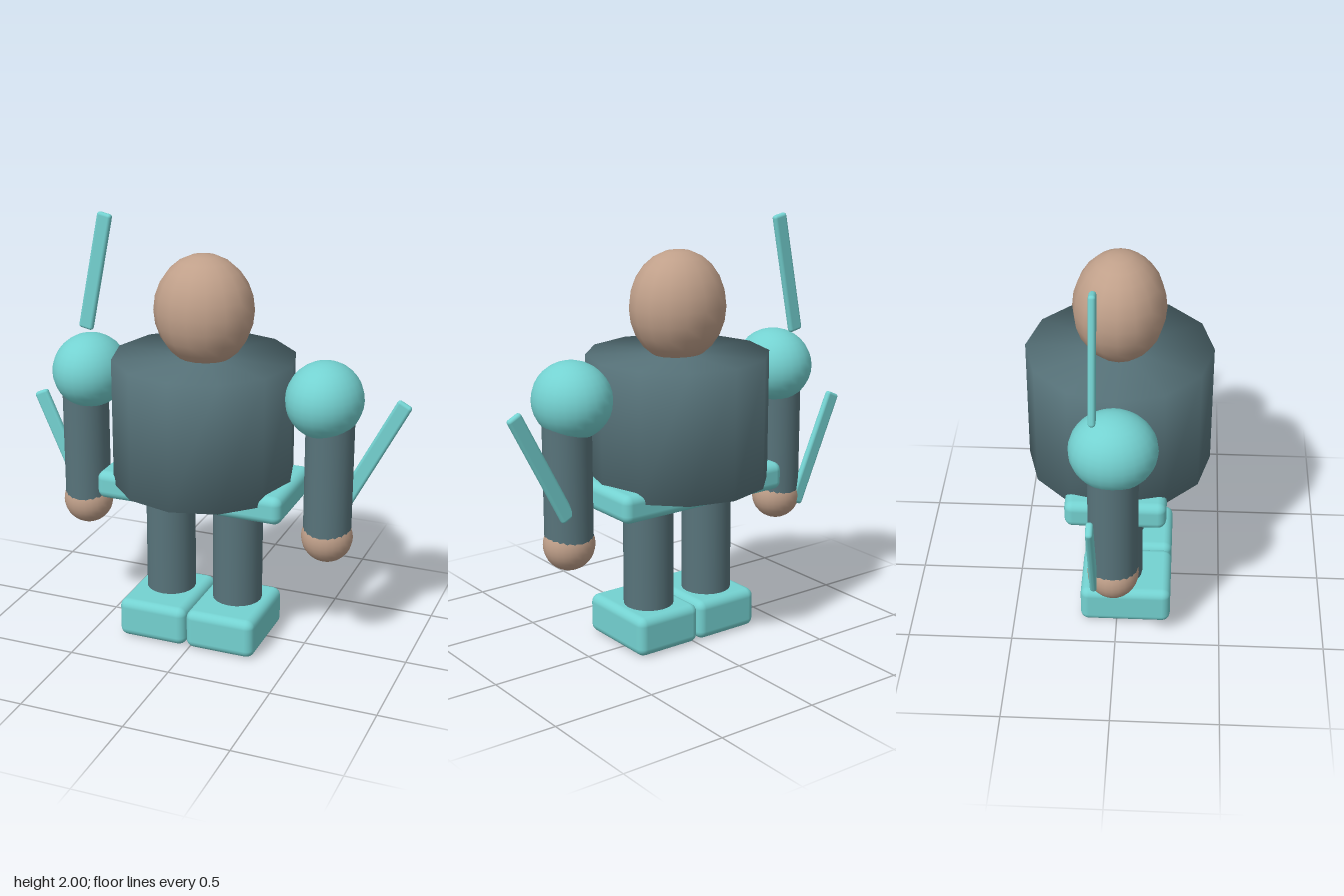
import * as THREE from 'three';
import { mergeVertices } from 'three/addons/utils/BufferGeometryUtils.js';
import { RoundedBoxGeometry } from 'three/addons/geometries/RoundedBoxGeometry.js';

const material = (name, color) => {
  const m = new THREE.MeshStandardMaterial({ color });
  m.name = name;
  return m;
};

export function createModel() {
  const teal = material('teal', 0x74d2d1);
  const slate = material('slate', 0x58747b);
  const skin = material('skin', 0xc0a08a);

  const model = new THREE.Group();
  model.name = 'figure';
  const body = new THREE.Group();
  body.name = 'body';
  body.position.x = -0.02;
  model.add(body);

  const add = (parent, name, geometry, mat, x, y, z) => {
    const mesh = new THREE.Mesh(geometry, mat);
    mesh.name = name;
    mesh.position.set(x, y, z);
    parent.add(mesh);
    return mesh;
  };
  const ball = (rx, ry, rz, w = 24, h = 16) => new THREE.SphereGeometry(1, w, h).scale(rx, ry, rz);

  // Torso: twelve-sided drum, shaded softly across its rims
  let drum = new THREE.CylinderGeometry(0.43, 0.43, 0.61, 12);
  drum.deleteAttribute('normal');
  drum.deleteAttribute('uv');
  drum = mergeVertices(drum);
  drum.computeVertexNormals();
  add(body, 'torso', drum, slate, 0, 1.085, 0);

  // Head and belt
  add(body, 'head', ball(0.235, 0.26, 0.212, 16, 12), skin, 0, 1.61, 0);
  add(body, 'belt', new RoundedBoxGeometry(0.92, 0.135, 0.465, 3, 0.04), teal, 0, 0.763, 0);

  // Limbs, mirrored about the body
  for (const [side, s] of [['left', 1], ['right', -1]]) {
    add(body, side + 'Shoulder', ball(0.178, 0.178, 0.195), teal, s * 0.585, 1.253, 0);
    add(body, side + 'Arm', new THREE.CylinderGeometry(0.112, 0.112, 0.67, 20), slate, s * 0.615, 0.915, 0);
    add(body, side + 'Hand', ball(0.121, 0.121, 0.116), skin, s * 0.615, 0.585, 0);
    add(body, side + 'Leg', new THREE.CylinderGeometry(0.119, 0.119, 0.54, 20), slate, s * 0.173, 0.445, 0);
    add(body, side + 'Foot', new RoundedBoxGeometry(0.342, 0.192, 0.436, 3, 0.04), teal, s * 0.172, 0.098, 0.042);
  }

  // Flat batons behind the arms and above the right shoulder
  const batons = [
    ['raisedBaton', -0.607, 1.712, -0.2],
    ['leftBaton', 0.784, 0.994, -0.48],
    ['rightBaton', -0.806, 0.813, 0.415],
  ];
  for (const [name, x, y, tilt] of batons) {
    const baton = add(model, name, new RoundedBoxGeometry(0.073, 0.58, 0.032, 3, 0.014), teal, x, y, -0.085);
    baton.rotation.z = tilt;
  }

  return model;
}
